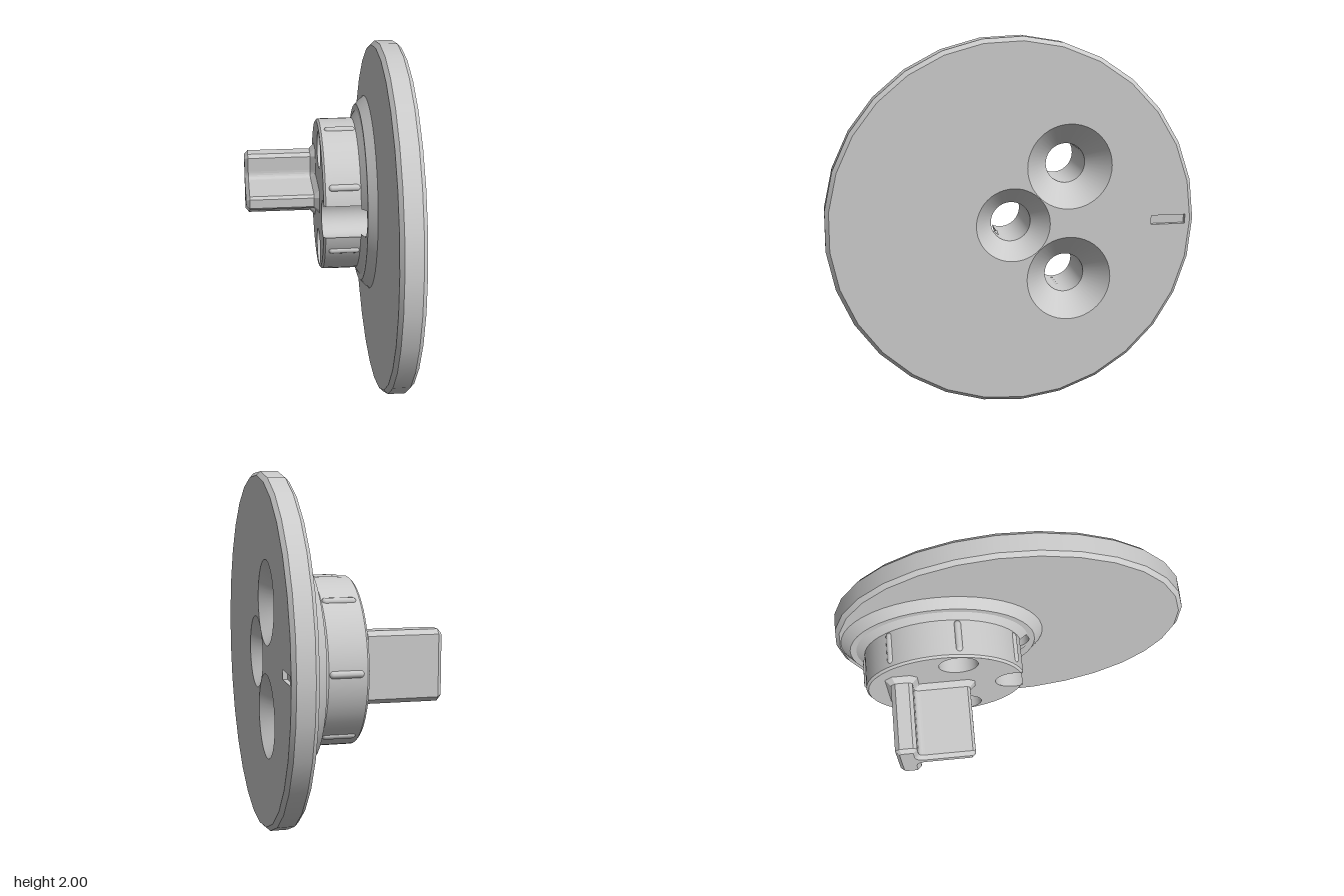
import * as THREE from 'three';

const material = new THREE.MeshStandardMaterial({ color: 0xcccccc });
const thin = new THREE.MeshStandardMaterial({ color: 0xcccccc, side: THREE.DoubleSide });

// Working frame: the disc axis runs along z, later turned to face +x.
const BACK = 0.29, FRONT = 0.43, FLANGE = 0.24;
const HUB = { u: 0.39, r: 0.45 };
const HOLE_R = 0.108;
const HOLES = [
  { u: 0, v: 0, sink: 0.2 },
  { u: 0.305, v: 0.308, sink: 0.23 },
  { u: 0.305, v: -0.308, sink: 0.23 },
];

function add(group, name, geometry, mat = material) {
  const mesh = new THREE.Mesh(geometry, mat);
  mesh.name = name;
  group.add(mesh);
  return mesh;
}

// Open cone or cylinder wall along z, from radius r0 at z0 to r1 at z1
function wall(r0, z0, r1, z1, u = 0, v = 0, sides = 48, gap = 0) {
  const start = gap ? -Math.PI / 2 + gap : Math.PI / 2;
  return new THREE.CylinderGeometry(r1, r0, z1 - z0, sides, 1, true, start, 2 * Math.PI - 2 * gap)
    .rotateX(Math.PI / 2)
    .translate(u, v, (z0 + z1) / 2);
}

function circle(u, v, r, sides = 48) {
  const points = [];
  for (let i = 0; i < sides; i++) {
    const a = (i / sides) * 2 * Math.PI;
    points.push(new THREE.Vector2(u + r * Math.cos(a), v + r * Math.sin(a)));
  }
  return points;
}

// Flat face with circular or polygonal openings
function face(outline, openings, z) {
  const shape = new THREE.Shape(outline);
  shape.holes = openings.map((points) => new THREE.Path(points));
  return new THREE.ShapeGeometry(shape).translate(0, 0, z);
}

// T-shaped section: tall plate with a filleted arm
function keyShape() {
  const s = new THREE.Shape();
  s.moveTo(0.69, -0.165);
  s.lineTo(0.69, 0.165);
  s.lineTo(0.665, 0.19);
  s.lineTo(0.59, 0.19);
  s.lineTo(0.57, 0.17);
  s.lineTo(0.57, 0.085);
  s.quadraticCurveTo(0.57, 0.042, 0.535, 0.042);
  s.lineTo(0.27, 0.042);
  s.lineTo(0.255, 0.027);
  s.lineTo(0.255, -0.027);
  s.lineTo(0.27, -0.042);
  s.lineTo(0.535, -0.042);
  s.quadraticCurveTo(0.57, -0.042, 0.57, -0.085);
  s.lineTo(0.57, -0.17);
  s.lineTo(0.59, -0.19);
  s.lineTo(0.665, -0.19);
  s.closePath();
  return s;
}

function createDisc() {
  const g = new THREE.Group();
  g.name = 'disc';
  const sides = 29, c = 0.022;
  add(g, 'discRim', wall(1, BACK + c, 1, FRONT - c, 0, 0, sides));
  add(g, 'discFrontChamfer', wall(1, FRONT - c, 1 - c, FRONT, 0, 0, sides));
  add(g, 'discBackChamfer', wall(1 - c, BACK, 1, BACK + c, 0, 0, sides));

  // Outer face with countersinks and a shallow index groove
  const groove = [[0.76, -0.025], [0.95, -0.025], [0.95, 0.025], [0.76, 0.025]]
    .map(([u, v]) => new THREE.Vector2(u, v));
  const sinks = HOLES.map((h) => circle(h.u, h.v, h.sink));
  add(g, 'discFrontFace', face(circle(0, 0, 1 - c, sides), [...sinks, groove], FRONT), thin);
  const grooveShape = new THREE.Shape(groove);
  add(g, 'indexGrooveFloor', new THREE.ShapeGeometry(grooveShape).translate(0, 0, FRONT - 0.025), thin);
  for (const v of [-0.025, 0.025]) {
    add(g, 'indexGrooveSide', new THREE.PlaneGeometry(0.19, 0.025).rotateX(Math.PI / 2)
      .translate(0.855, v, FRONT - 0.0125), thin);
  }
  for (const u of [0.76, 0.95]) {
    add(g, 'indexGrooveEnd', new THREE.PlaneGeometry(0.025, 0.05).rotateY(Math.PI / 2)
      .translate(u, 0, FRONT - 0.0125), thin);
  }

  // Inner face around the flange
  add(g, 'discBackFace', face(circle(0, 0, 1 - c, sides), [circle(HUB.u, 0, 0.578)], BACK), thin);

  // Countersunk bores
  for (const h of HOLES) {
    const bottom = FRONT - (h.sink - HOLE_R);
    add(g, 'countersink', wall(HOLE_R, bottom, h.sink, FRONT, h.u, h.v), thin);
    add(g, 'bore', wall(HOLE_R, FLANGE, HOLE_R, bottom, h.u, h.v), thin);
  }
  return g;
}

function createHub() {
  const g = new THREE.Group();
  g.name = 'hub';
  // Half angle of the notch where the central bore breaks through the hub side
  const notch = (r) => Math.acos((r * r + HUB.u ** 2 - HOLE_R ** 2) / (2 * r * HUB.u));
  const a = notch(HUB.r), c = 0.012;

  // Conical flange
  add(g, 'flangeSide', wall(0.53, FLANGE, 0.58, BACK, HUB.u));
  add(g, 'flangeFace', face(circle(HUB.u, 0, 0.53), HOLES.map((h) => circle(h.u, h.v, HOLE_R)), FLANGE), thin);
  add(g, 'hubFillet', wall(HUB.r, 0.212, 0.495, FLANGE, HUB.u, 0, 48, notch(0.47)), thin);

  // Hub side with chamfered end
  add(g, 'hubSide', wall(HUB.r, c, HUB.r, FLANGE, HUB.u, 0, 48, a));
  add(g, 'hubChamfer', wall(HUB.r - c, 0, HUB.r, c, HUB.u, 0, 48, a));

  // Hub end face, notched by the central bore
  const r = HUB.r - c, b = notch(r);
  const edge = Math.atan2(r * Math.sin(b), HUB.u - r * Math.cos(b));
  const outline = new THREE.Shape();
  outline.absarc(HUB.u, 0, r, -Math.PI + b, Math.PI - b, false);
  outline.absarc(0, 0, HOLE_R, Math.PI - (Math.PI - Math.atan2(r * Math.sin(b), HUB.u - r * Math.cos(b))), -edge, true);
  add(g, 'hubFace', face(outline.getPoints(30), HOLES.slice(1).map((h) => circle(h.u, h.v, HOLE_R)), 0), thin);

  // Bore walls; the central one is open towards the hub side
  for (const h of HOLES.slice(1)) {
    add(g, 'hubBore', wall(HOLE_R, 0, HOLE_R, FLANGE, h.u, h.v), thin);
  }
  const open = Math.PI - Math.atan2(HUB.r * Math.sin(a), -(HUB.r * Math.cos(a) - HUB.u));
  add(g, 'hubNotch', wall(HOLE_R, 0, HOLE_R, FLANGE, 0, 0, 32, open), thin);

  // Seven grip ribs
  for (let i = 0; i < 7; i++) {
    const t = (i / 7) * 2 * Math.PI;
    const rib = add(g, 'gripRib', new THREE.CapsuleGeometry(0.02, 0.14, 4, 10).rotateX(Math.PI / 2));
    rib.position.set(HUB.u + 0.443 * Math.cos(t), 0.443 * Math.sin(t), 0.12);
  }
  return g;
}

function createKey() {
  const g = new THREE.Group();
  g.name = 'key';
  const e = 0.022;
  add(g, 'keyBar', new THREE.ExtrudeGeometry(keyShape(), {
    depth: 0.43 - e, bevelThickness: e, bevelSize: e, bevelOffset: -e, bevelSegments: 1, curveSegments: 6,
  }).translate(0, 0, -0.43 + e));
  // Flared root where the key meets the hub
  add(g, 'keyRoot', new THREE.ExtrudeGeometry(keyShape(), {
    depth: 0.002, bevelThickness: 0.03, bevelSize: 0.03, bevelSegments: 1, curveSegments: 6,
  }));
  return g;
}

export function createModel() {
  const model = new THREE.Group();
  model.name = 'discWithKey';
  model.add(createDisc(), createHub(), createKey());
  model.rotation.y = Math.PI / 2;
  model.position.y = 1;
  const root = new THREE.Group();
  root.add(model);
  return root;
}
